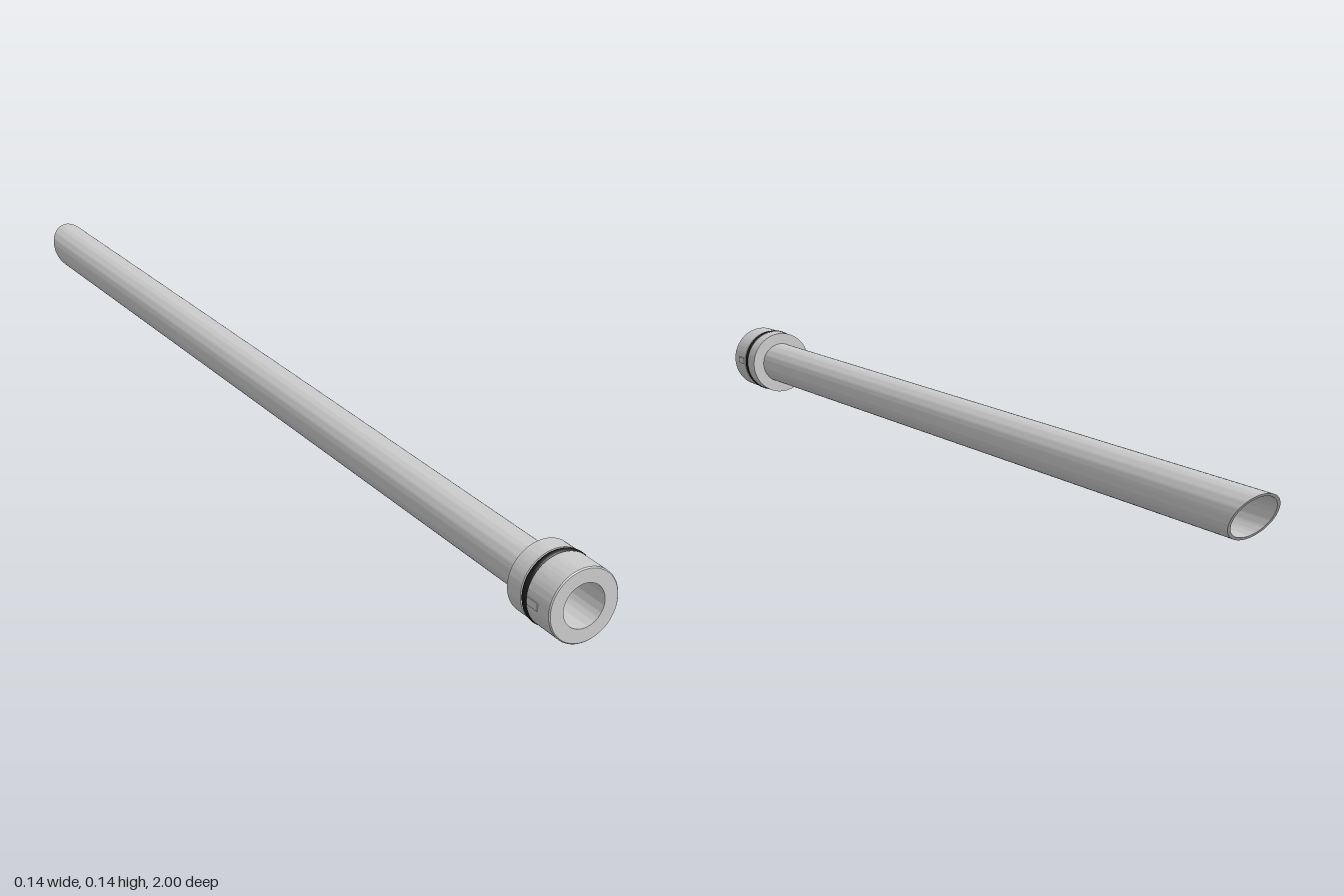
import * as THREE from 'three';
import { toCreasedNormals } from 'three/addons/utils/BufferGeometryUtils.js';

const AXIS_Y = 0.0685; // height of the tube's centre line
const TUBE_R = 0.0435, TUBE_BORE = 0.0385;
const SEGMENTS = 96;

// Revolve a closed [radius, z] profile about the z axis
function revolve(profile) {
  const points = [...profile, profile[0]].map(([r, z]) => new THREE.Vector2(r, z));
  return new THREE.LatheGeometry(points, SEGMENTS).rotateX(Math.PI / 2);
}

function addPart(group, name, geometry, material) {
  const mesh = new THREE.Mesh(geometry, material);
  mesh.name = name;
  group.add(mesh);
  return mesh;
}

export function createModel() {
  const model = new THREE.Group();
  model.name = 'slantCutTube';
  const body = new THREE.Group();
  body.name = 'body';
  body.position.y = AXIS_Y;
  model.add(body);

  const grey = new THREE.MeshStandardMaterial({ color: 0xcccccc });
  const black = new THREE.MeshStandardMaterial({ color: 0x1a1a1a });

  // Long hollow tube, its rear end sheared to a slanted mouth
  const tube = revolve([[TUBE_R, -1], [TUBE_R, 0.9], [TUBE_BORE, 0.9], [TUBE_BORE, -1]]);
  const pos = tube.attributes.position;
  for (let i = 0; i < pos.count; i++) {
    if (pos.getZ(i) < -0.9) pos.setZ(i, -1 + (TUBE_R - pos.getY(i)) * 0.75);
  }
  addPart(body, 'tube', toCreasedNormals(tube, 0.5), grey);

  // Collar with a seal groove and a slightly wider bore
  const collar = revolve([
    [0.04, 0.885], [0.067, 0.885], [0.067, 0.922], [0.06, 0.922], [0.06, 0.938],
    [0.067, 0.938], [0.067, 0.998], [0.065, 1], [0.04, 1],
  ]);
  addPart(body, 'collar', toCreasedNormals(collar, 0.5), grey);

  // Rubber seal seated in the groove
  const seal = new THREE.TorusGeometry(0.0605, 0.008, 16, SEGMENTS);
  addPart(body, 'sealRing', seal, black).position.z = 0.93;

  // Small locating pads on both sides of the collar
  for (const [name, side] of [['leftPad', 1], ['rightPad', -1]]) {
    const pad = addPart(body, name, new THREE.BoxGeometry(0.006, 0.014, 0.028), grey);
    pad.position.set(side * 0.0655, 0, 0.955);
  }

  return model;
}
